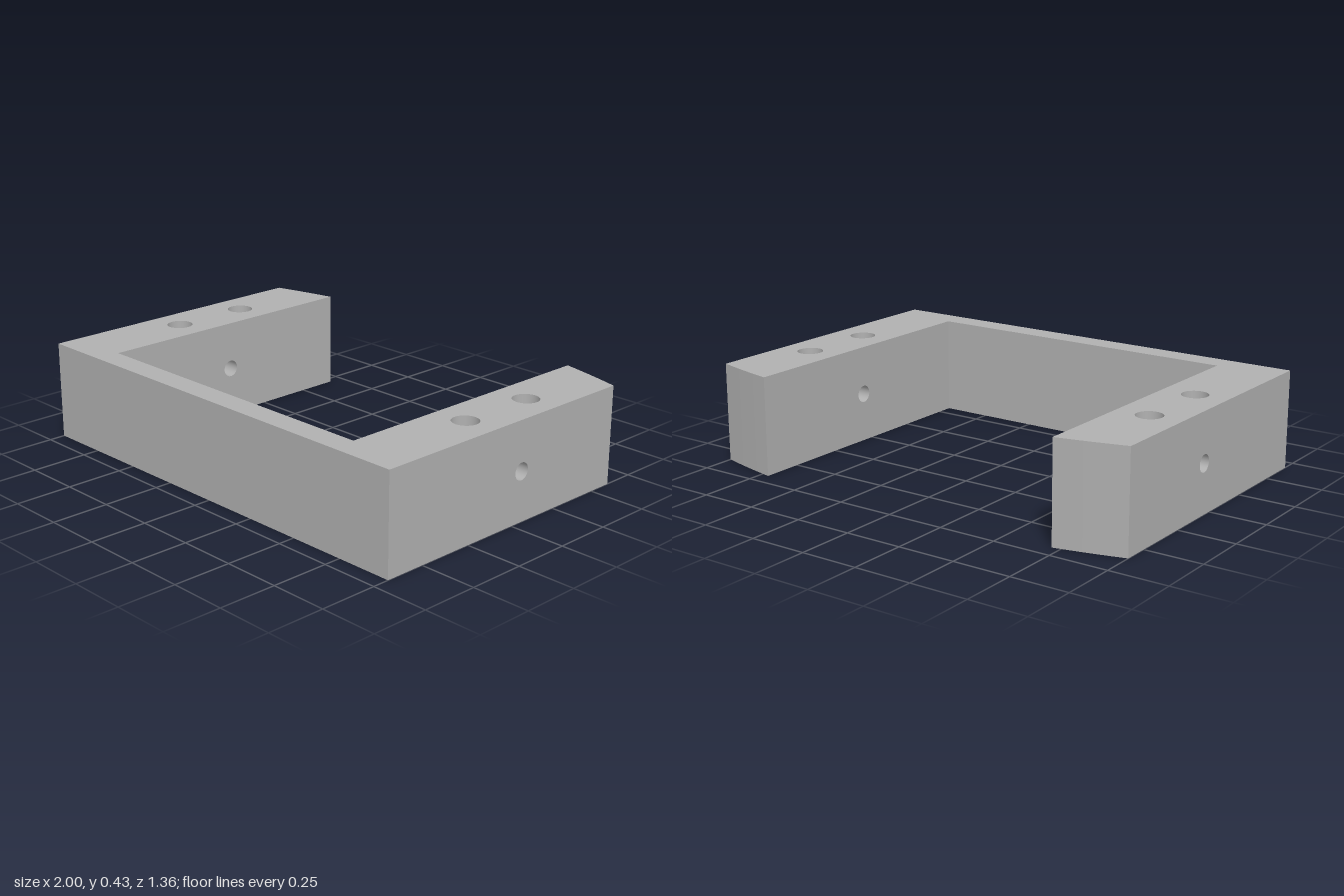
import * as THREE from 'three';

const H = 0.427, HALF = 1, INNER = 0.713;     // height, outer and inner half widths
const FRONT = 0.678, WEB = 0.572;             // outer and inner z of the cross bar
const R = 3.62;                               // radius of the curved arm ends
const CZ = -0.609 + Math.sqrt(R * R - 1);     // centre of that curve
const endZ = x => CZ - Math.sqrt(R * R - x * x);
const BOLT = { x: 0.857, z: [-0.235, 0.12], r: 0.056 };
const PIN = { y: H / 2, z: -0.051, r: 0.037 };

export function createModel() {
  const group = new THREE.Group();
  group.name = 'bracket';
  const grey = new THREE.MeshStandardMaterial({ color: 0xb0b0b0, side: THREE.DoubleSide });
  grey.name = 'grey';

  const add = (name, geometry, x = 0, y = 0, z = 0) => {
    const mesh = new THREE.Mesh(geometry, grey);
    mesh.name = name;
    mesh.position.set(x, y, z);
    group.add(mesh);
    return mesh;
  };
  const hole = (x, y, r) => new THREE.Path().absarc(x, y, r, 0, Math.PI * 2, true);

  // U-shaped top and bottom faces with bolt holes (shape y is -z)
  const outline = [[-HALF, -FRONT], [HALF, -FRONT]];
  const steps = [0, 0.25, 0.5, 0.75, 1].map(t => HALF + (INNER - HALF) * t);
  steps.forEach(x => outline.push([x, -endZ(x)]));
  outline.push([INNER, -WEB], [-INNER, -WEB]);
  [...steps].reverse().forEach(x => outline.push([-x, -endZ(x)]));
  const plan = new THREE.Shape(outline.map(p => new THREE.Vector2(...p)));
  for (const s of [-1, 1]) for (const z of BOLT.z) plan.holes.push(hole(s * BOLT.x, -z, BOLT.r));
  const cap = new THREE.ShapeGeometry(plan, 24).rotateX(-Math.PI / 2);
  add('topFace', cap, 0, H, 0);
  add('bottomFace', cap.clone().rotateZ(Math.PI));

  // Cross bar faces
  add('crossBarFront', new THREE.PlaneGeometry(2 * HALF, H), 0, H / 2, FRONT);
  add('crossBarBack', new THREE.PlaneGeometry(2 * INNER, H).rotateY(Math.PI), 0, H / 2, WEB);

  // Upright arm wall with a pin hole, facing +x or -x
  const wall = (facing, zFront, zBack) => {
    const a = -facing * zFront, b = -facing * zBack;
    const shape = new THREE.Shape();
    shape.moveTo(a, 0).lineTo(b, 0).lineTo(b, H).lineTo(a, H).closePath();
    shape.holes.push(hole(-facing * PIN.z, PIN.y, PIN.r));
    return new THREE.ShapeGeometry(shape, 24).rotateY(facing * Math.PI / 2);
  };

  const a0 = Math.asin(INNER / R), a1 = Math.asin(HALF / R);
  for (const [s, side] of [[1, 'left'], [-1, 'right']]) {
    add(side + 'OuterWall', wall(s, FRONT, endZ(HALF)), s * HALF);
    add(side + 'InnerWall', wall(-s, WEB, endZ(INNER)), s * INNER);

    // Curved end of the arm
    const start = s > 0 ? Math.PI - a1 : Math.PI + a0;
    add(side + 'ArmEnd', new THREE.CylinderGeometry(R, R, H, 4, 1, true, start, a1 - a0), 0, H / 2, CZ);

    // Bore walls
    for (const z of BOLT.z)
      add(side + 'BoltBore', new THREE.CylinderGeometry(BOLT.r, BOLT.r, H, 48, 1, true), s * BOLT.x, H / 2, z);
    const pin = new THREE.CylinderGeometry(PIN.r, PIN.r, HALF - INNER, 48, 1, true).rotateZ(Math.PI / 2);
    add(side + 'PinBore', pin, s * (HALF + INNER) / 2, PIN.y, PIN.z);
  }
  return group;
}
